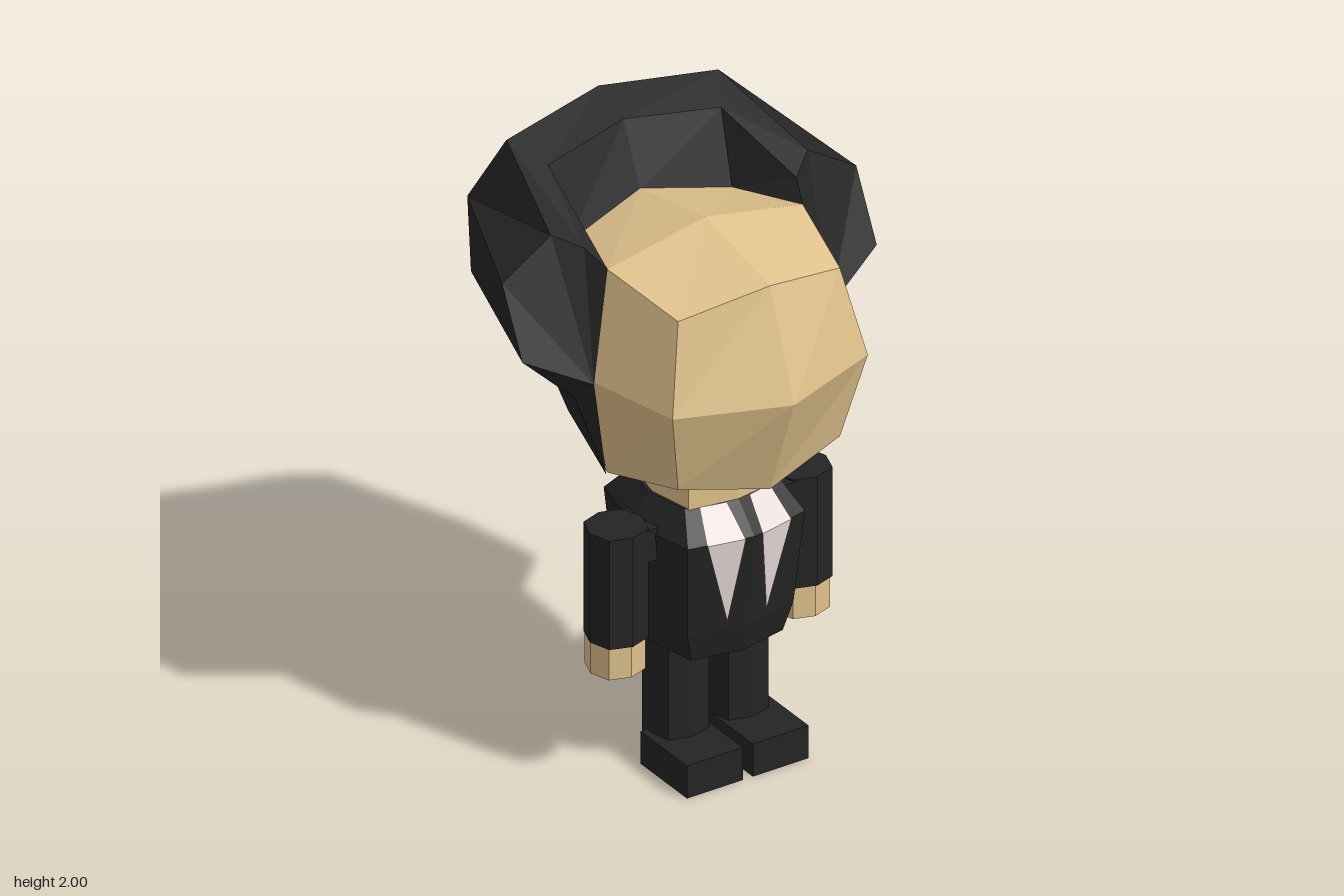
import * as THREE from 'three';

const mat = (name, color, side = THREE.FrontSide) => {
  const m = new THREE.MeshStandardMaterial({ color, flatShading: true, side });
  m.name = name;
  return m;
};

// Geometry from a flat list of triangle corners
function fromTriangles(points) {
  const g = new THREE.BufferGeometry();
  g.setAttribute('position', new THREE.Float32BufferAttribute(points.flat(), 3));
  g.computeVertexNormals();
  return g;
}

// Eight-sided ring: side midpoints at mx/mz, corners at cx/cz
const ring = (x, y, z, mx, mz, cx, cz) => [
  [mx, 0], [cx, cz], [0, mz], [-cx, cz], [-mx, 0], [-cx, -cz], [0, -mz], [cx, -cz],
].map(([dx, dz]) => [x + dx, y, z + dz]);

// Closed loft through rings listed from bottom to top
function loft(rings) {
  const t = [], n = 8, last = rings.length - 1;
  const middle = (r) => [0, 1, 2].map((k) => r.reduce((s, p) => s + p[k], 0) / n);
  for (let i = 0; i < n; i++) {
    const j = (i + 1) % n;
    for (let r = 0; r < last; r++) {
      const a = rings[r][i], b = rings[r][j], c = rings[r + 1][j], d = rings[r + 1][i];
      t.push(a, d, c, a, c, b);
    }
    t.push(middle(rings[0]), rings[0][i], rings[0][j]);
    t.push(middle(rings[last]), rings[last][j], rings[last][i]);
  }
  return fromTriangles(t);
}

// Rounded cube head: two segments per side, pulled in at edges and corners
function headGeometry() {
  const g = new THREE.BoxGeometry(2, 2, 2, 2, 2, 2);
  const p = g.attributes.position;
  for (let i = 0; i < p.count; i++) {
    const v = [p.getX(i), p.getY(i), p.getZ(i)].map(Math.round);
    const kind = v.filter((c) => c !== 0).length;
    const s = kind === 1 ? [0.43, 0.42, 0.48] : kind === 2 ? [0.35, 0.35, 0.35] : [0.29, 0.29, 0.29];
    p.setXYZ(i, v[0] * s[0], 1.405 + v[1] * s[1], 0.14 + v[2] * s[2]);
  }
  g.computeVertexNormals();
  return g;
}

// Swept-back hair: each row runs from the side, past the rear corner, to the back centre
function hairGeometry() {
  const rows = [
    [[0.355, 1.05, 0.14], [0.295, 1.11, -0.155], [0, 1.05, -0.215]],
    [[0.44, 1.32, 0.10], [0.375, 1.40, -0.25], [0, 1.32, -0.33]],
    [[0.635, 1.51, 0.11], [0.46, 1.51, -0.43], [0, 1.51, -0.52]],
    [[0.635, 1.73, 0.0], [0.46, 1.76, -0.45], [0, 1.76, -0.62]],
    [[0.46, 1.84, 0.0], [0.38, 1.97, -0.36], [0, 2.0, -0.435]],
    [[0.38, 1.80, 0.06], [0.31, 1.92, -0.24], [0, 1.95, -0.30]],
    [[0.35, 1.755, 0.14], [0.29, 1.69, -0.15], [0, 1.75, -0.21]],
  ].map(([s, c, b]) => [s, c, b, [-c[0], c[1], c[2]], [-s[0], s[1], s[2]]]);
  const t = [];
  for (let r = 0; r < rows.length - 1; r++) {
    for (let i = 0; i < 4; i++) {
      const a = rows[r][i], b = rows[r][i + 1], c = rows[r + 1][i + 1], d = rows[r + 1][i];
      t.push(a, c, d, a, b, c);
    }
    // Front ends of the sideburns
    t.push([0.425, 1.4, 0.18], rows[r][0], rows[r + 1][0]);
    t.push([-0.425, 1.4, 0.18], rows[r + 1][4], rows[r][4]);
  }
  return fromTriangles(t);
}

// Shirt panel following the slope of the jacket front
function shirtGeometry(side) {
  const at = (x, y) => {
    const depth = y > 0.85 ? 0.27 - (y - 0.85) * 0.944 : 0.27 - (0.85 - y) * 0.109;
    return [side * x, y, 0.135 + depth - 0.21 * x + 0.006];
  };
  const a = at(0.04, 0.94), b = at(0.125, 0.94), c = at(0.15, 0.85), d = at(0.03, 0.85), e = at(0.07, 0.56);
  const t = [d, c, b, d, b, a, e, c, d];
  return fromTriangles(side > 0 ? t : t.reverse());
}

export function createModel() {
  const model = new THREE.Group();
  const skin = mat('skin', 0xdfc18b);
  const hair = mat('black hair', 0x252525, THREE.DoubleSide);
  const suit = mat('black suit', 0x242425);
  const white = mat('white shirt', 0xe6dad8, THREE.DoubleSide);
  const add = (name, geometry, material) => {
    const mesh = new THREE.Mesh(geometry, material);
    mesh.name = name;
    model.add(mesh);
    return mesh;
  };

  add('head', headGeometry(), skin);
  add('hair', hairGeometry(), hair);
  add('neck', loft([0.9, 1.04].map((y) => ring(0, y, 0.14, 0.19, 0.18, 0.16, 0.15))), skin);

  add('jacket', loft([
    ring(0, 0.40, 0.14, 0.14, 0.15, 0.12, 0.12),
    ring(0, 0.43, 0.14, 0.20, 0.205, 0.165, 0.17),
    ring(0, 0.53, 0.135, 0.24, 0.235, 0.19, 0.195),
    ring(0, 0.85, 0.135, 0.26, 0.27, 0.21, 0.226),
    ring(0, 0.94, 0.135, 0.20, 0.185, 0.17, 0.149),
  ]), suit);

  for (const side of [1, -1]) {
    const label = side > 0 ? 'left' : 'right';
    const column = (x, z, y0, y1, m, c) => loft([y0, y1].map((y) => ring(side * x, y, z, m, m, c, c)));

    add(label + 'ShirtPanel', shirtGeometry(side), white);

    // Arm
    add(label + 'Sleeve', column(0.33, 0.155, 0.5, 0.875, 0.093, 0.07), suit);
    add(label + 'Shoulder', new THREE.BoxGeometry(0.14, 0.11, 0.15), suit).position.set(side * 0.26, 0.815, 0.155);
    add(label + 'Hand', column(0.33, 0.15, 0.39, 0.505, 0.088, 0.066), skin);

    // Leg and shoe
    add(label + 'Leg', column(0.107, 0.14, 0, 0.45, 0.09, 0.072), suit);
    add(label + 'Shoe', new THREE.BoxGeometry(0.2, 0.112, 0.25), suit).position.set(side * 0.118, 0.056, 0.245);
  }
  return model;
}
